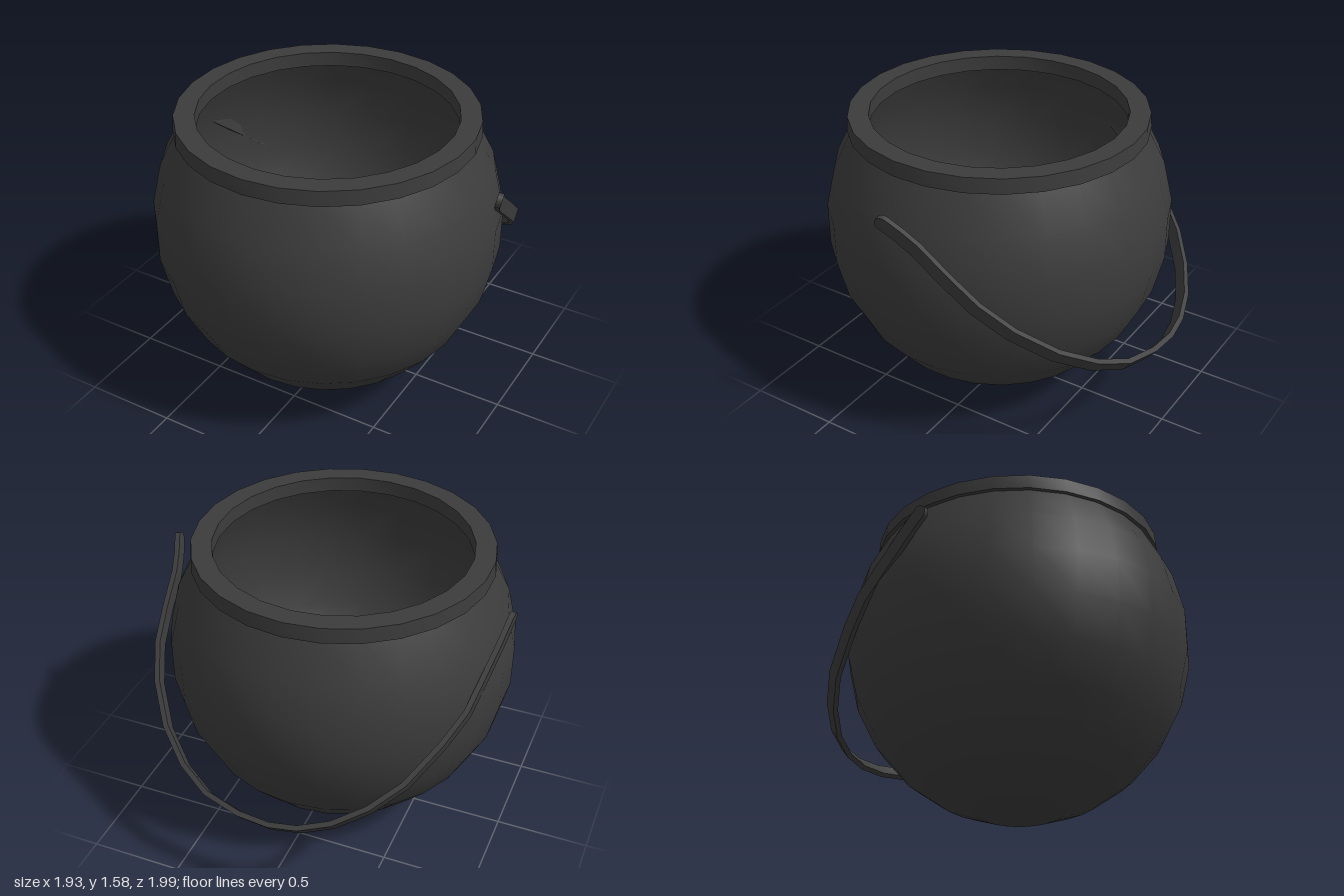
import * as THREE from 'three';
import { toCreasedNormals } from 'three/addons/utils/BufferGeometryUtils.js';

const SIDES = 26;
const V = (x, y, z) => new THREE.Vector3(x, y, z);

// Flat strap swept along a path; widthAxis points across the strap, ends are rounded
function strap(path, widthAxis, halfWidth, halfThick) {
  const sections = path.map((p, i) => {
    const t = path[Math.min(i + 1, path.length - 1)].clone().sub(path[Math.max(i - 1, 0)]).normalize();
    return { p, t, w: halfWidth };
  });
  const first = sections[0], last = sections[sections.length - 1];
  for (let k = 1; k <= 4; k++) {
    const a = (k / 4) * Math.PI / 2, out = halfWidth * Math.sin(a), w = halfWidth * Math.cos(a);
    sections.unshift({ p: first.p.clone().addScaledVector(first.t, -out), t: first.t, w });
    sections.push({ p: last.p.clone().addScaledVector(last.t, out), t: last.t, w });
  }
  const pos = [], idx = [];
  sections.forEach(({ p, t, w }, i) => {
    const o = widthAxis.clone().cross(t).normalize();
    for (const [a, b] of [[1, 1], [-1, 1], [-1, -1], [1, -1]]) {
      const c = p.clone().addScaledVector(o, a * halfThick).addScaledVector(widthAxis, b * w);
      pos.push(c.x, c.y, c.z);
    }
    if (i === sections.length - 1) return;
    for (let j = 0; j < 4; j++) {
      const a = i * 4 + j, b = i * 4 + (j + 1) % 4;
      idx.push(a, b, b + 4, a, b + 4, a + 4);
    }
  });
  const g = new THREE.BufferGeometry();
  g.setAttribute('position', new THREE.Float32BufferAttribute(pos, 3));
  g.setIndex(idx);
  return toCreasedNormals(g, 0.6);
}

export function createModel() {
  const group = new THREE.Group();
  group.name = 'cauldron';
  const iron = new THREE.MeshStandardMaterial({ color: 0x3c3c3c });
  const ironShell = new THREE.MeshStandardMaterial({ color: 0x3c3c3c, side: THREE.DoubleSide });

  const pot = new THREE.Group();
  pot.name = 'pot';
  pot.position.set(-0.03, 0, 0.067);
  group.add(pot);

  // Thin round bowl, a sphere cut off at the neck
  const profile = [];
  for (let i = 0; i <= 9; i++) {
    const a = (i / 13) * Math.PI;
    profile.push(new THREE.Vector2(0.928 * Math.sin(a), 0.957 * (1 - Math.cos(a))));
  }
  const bowl = new THREE.Mesh(new THREE.LatheGeometry(profile, SIDES), ironShell);
  bowl.name = 'bowl';
  pot.add(bowl);

  // Thick flat-topped rim
  const rimProfile = [[0.675, 1.495], [0.789, 1.495], [0.783, 1.575], [0.675, 1.575], [0.675, 1.495]]
    .map(([r, y]) => new THREE.Vector2(r, y));
  const rim = new THREE.Mesh(toCreasedNormals(new THREE.LatheGeometry(rimProfile, SIDES), 0.6), iron);
  rim.name = 'rim';
  pot.add(rim);

  // Handle hanging down behind the pot, its bow lying in a tilted plane
  const bow = [
    [-0.945, 0.03], [-0.925, -0.08], [-0.89, -0.24], [-0.86, -0.37], [-0.785, -0.51], [-0.66, -0.69],
    [-0.52, -0.81], [-0.36, -0.9], [-0.2, -0.95], [-0.05, -0.967], [0.12, -0.957], [0.32, -0.915],
    [0.49, -0.83], [0.65, -0.7], [0.78, -0.53], [0.85, -0.37], [0.875, -0.22], [0.892, -0.06],
    [0.915, 0.02], [0.942, 0.087],
  ];
  const path = bow.map(([x, z]) => V(x, 0.5 + 0.81 * (z + 0.967) + (x < 0 ? 0.05 * x * x : 0), z));
  const handle = new THREE.Mesh(strap(path, V(0, 0.777, -0.63), 0.038, 0.014), iron);
  handle.name = 'handle';
  group.add(handle);

  return group;
}
